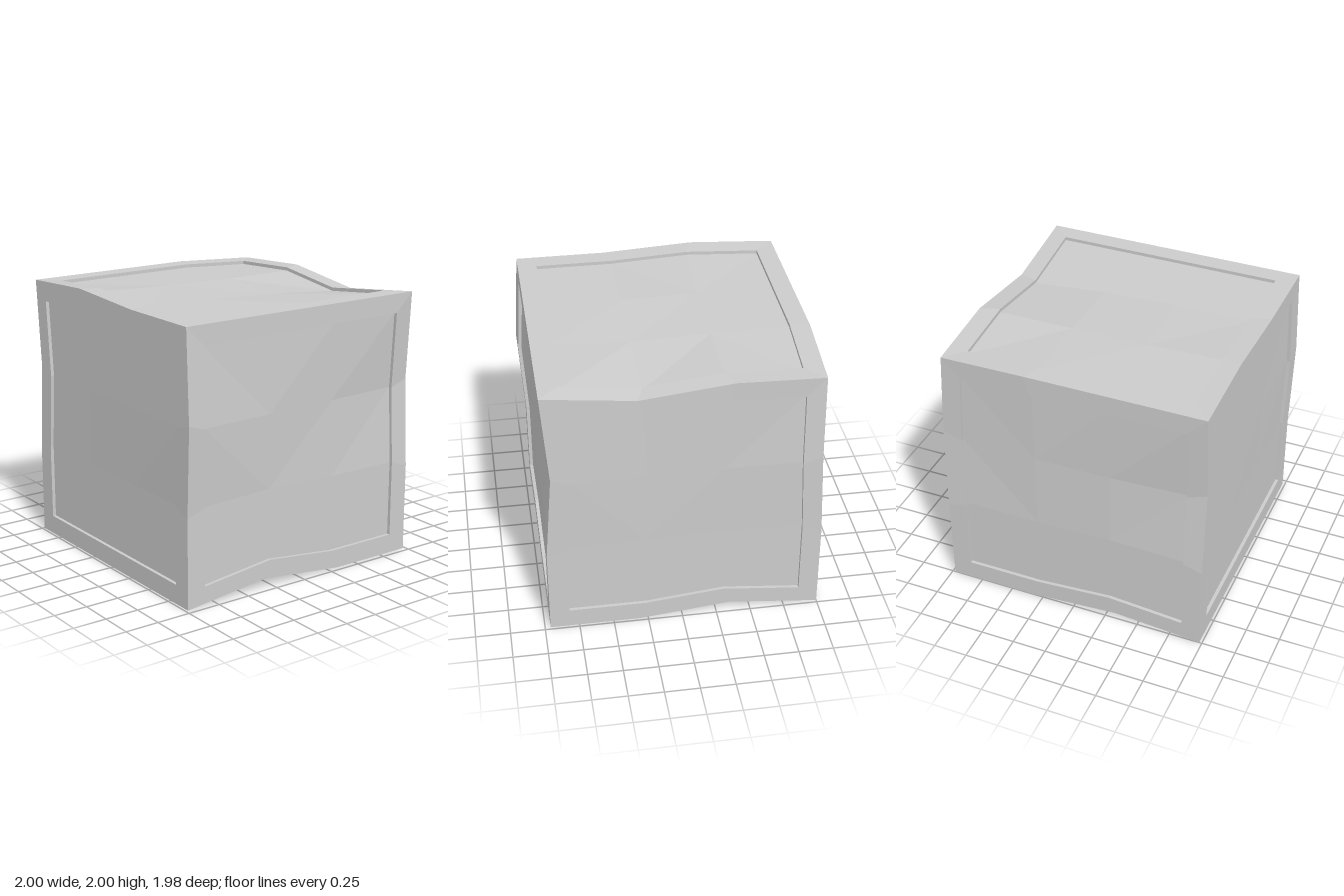
import * as THREE from 'three';

const HALF = 0.98, INSET = 0.857, DEPTH = 0.025;
const CENTRE = new THREE.Vector3(-0.02, 0.98, 0);

// Dents and bumps, keyed by lattice position (each cube edge is cut in three: -3, -1, 1, 3)
const WARP = {
  '-1,3,3': [-0.02, 0.036, 0],      // top front edge
  '1,3,-3': [0, -0.08, 0.01],       // top back edge
  '3,1,3': [0.04, 0, 0.01],         // upright edges
  '-3,1,3': [0.05, 0, 0],
  '3,1,-3': [-0.05, 0, -0.012],
  '-3,1,-3': [0.03, 0, -0.01],
  '3,-3,1': [0, 0.075, 0],          // bottom edges
  '-3,-3,1': [0, 0.05, 0],
  '-1,-3,-3': [0, 0.07, 0],
  '-3,3,-3': [0.03, -0.03, 0.02],   // worn corner
};

const V = (x, y, z) => new THREE.Vector3(x, y, z);
const FACES = [
  ['front', V(1, 0, 0), V(0, 1, 0)],
  ['back', V(-1, 0, 0), V(0, 1, 0)],
  ['left', V(0, 0, -1), V(0, 1, 0)],
  ['right', V(0, 0, 1), V(0, 1, 0)],
  ['top', V(1, 0, 0), V(0, 0, -1)],
  ['bottom', V(1, 0, 0), V(0, 0, 1)],
];
const STEPS = [-3, -1, 1, 3];

// The twelve border positions of a face, counter-clockwise
const BORDER = [];
for (let side = 0; side < 4; side++) {
  for (const t of [-3, -1, 1]) {
    BORDER.push([[t, -3], [3, t], [-t, 3], [-3, -t]][side]);
  }
}

function addTriangles(group, name, triangles, material) {
  const geometry = new THREE.BufferGeometry().setFromPoints(triangles);
  geometry.computeVertexNormals();
  const mesh = new THREE.Mesh(geometry, material);
  mesh.name = name;
  group.add(mesh);
}

export function createModel() {
  const model = new THREE.Group();
  model.name = 'warpedCrate';
  const material = new THREE.MeshStandardMaterial({ color: 0xcccccc, flatShading: true });

  for (const [name, u, v] of FACES) {
    const n = u.clone().cross(v);
    const warp = (i, j) => {
      const p = n.clone().multiplyScalar(3).addScaledVector(u, i).addScaledVector(v, j);
      const key = p.toArray().map((c) => Math.round(c) + 0).join(',');
      return V(...(WARP[key] || [0, 0, 0]));
    };
    // A point of the face: tangential scale, sunken depth, and its offset
    const place = (i, j, scale, depth, offset) => CENTRE.clone()
      .addScaledVector(n, HALF - depth)
      .addScaledVector(u, (i / 3) * HALF * scale)
      .addScaledVector(v, (j / 3) * HALF * scale)
      .add(offset);
    const outer = (i, j) => place(i, j, 1, 0, warp(i, j));
    const rim = (i, j) => place(i, j, INSET, 0, warp(i, j).multiplyScalar(0.85));
    const sunk = (i, j) => {
      const inside = Math.abs(i) < 3 && Math.abs(j) < 3;
      // Inner points follow the nearest borders only a little
      const offset = inside
        ? warp(i * 3, j).add(warp(i, j * 3)).multiplyScalar(0.25)
        : warp(i, j).multiplyScalar(0.85);
      return place(i, j, INSET, DEPTH, offset);
    };

    // Raised border and the short wall down to the panel
    const frame = [];
    BORDER.forEach((a, k) => {
      const b = BORDER[(k + 1) % BORDER.length];
      const rings = [outer, rim, sunk];
      for (let r = 0; r < 2; r++) {
        const p = rings[r](...a), q = rings[r](...b);
        const s = rings[r + 1](...b), t = rings[r + 1](...a);
        frame.push(p, q, s, p, s, t);
      }
    });
    addTriangles(model, name + 'Frame', frame, material);

    // Sunken panel, three by three cells
    const panel = [];
    for (let i = 0; i < 3; i++) {
      for (let j = 0; j < 3; j++) {
        const a = sunk(STEPS[i], STEPS[j]), b = sunk(STEPS[i + 1], STEPS[j]);
        const c = sunk(STEPS[i + 1], STEPS[j + 1]), d = sunk(STEPS[i], STEPS[j + 1]);
        if ((i < 1) === (j < 1)) panel.push(a, b, c, a, c, d);
        else panel.push(a, b, d, b, c, d);
      }
    }
    addTriangles(model, name + 'Panel', panel, material);
  }
  return model;
}
